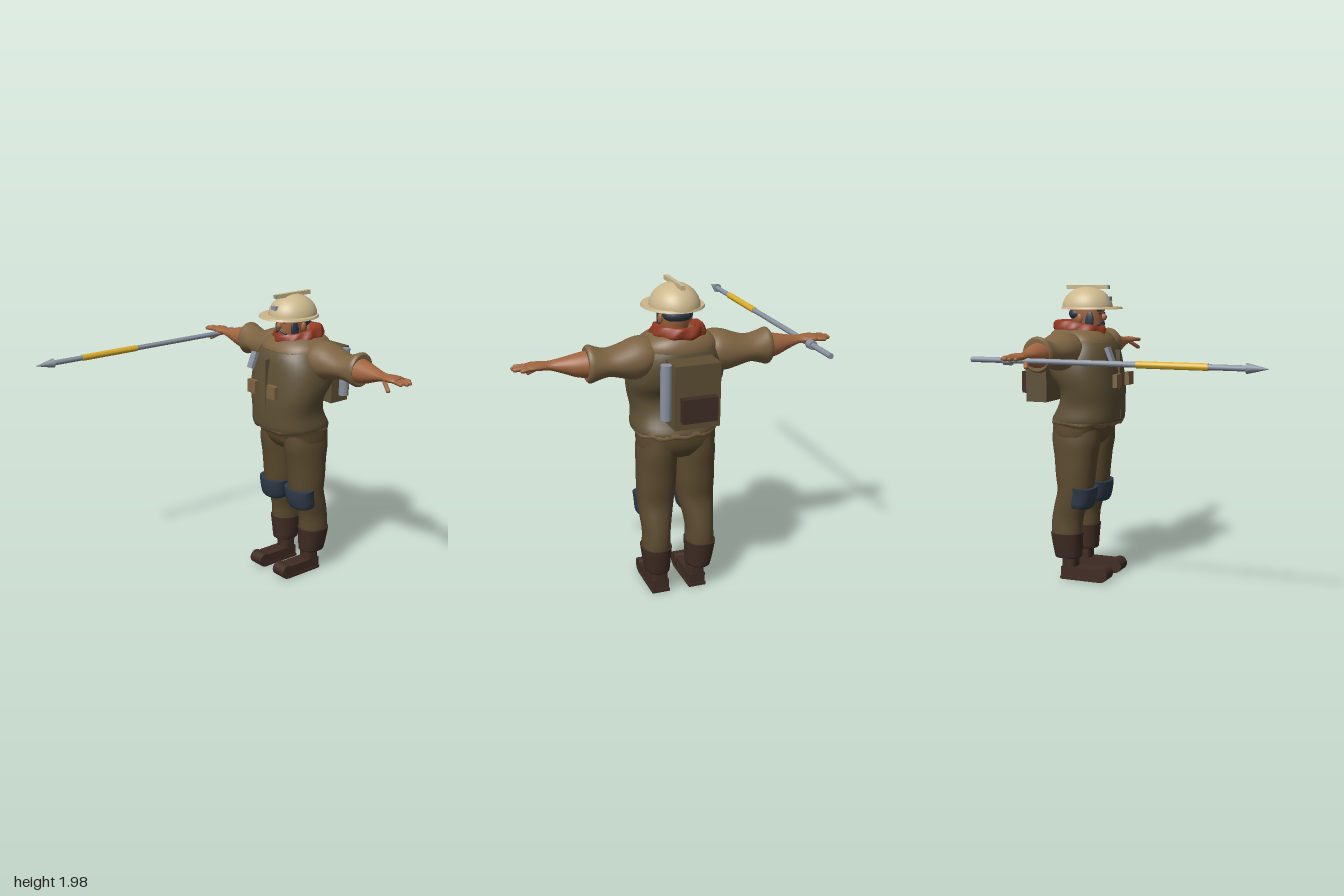
import * as THREE from 'three';
import { toCreasedNormals } from 'three/addons/utils/BufferGeometryUtils.js';

const colours = {
  helmet: 0xcbb78c, skin: 0xa0653f, dark: 0x2e3a48, scarf: 0x8f3822, jacket: 0x7d6442,
  vest: 0x5e5035, trousers: 0x5b4a2f, leather: 0x402c24, metal: 0x8a92a0, yellow: 0xdbae2c,
};
const M = {};
for (const [name, hex] of Object.entries(colours)) {
  M[name] = new THREE.MeshStandardMaterial({ color: hex });
  M[name].name = name;
}

// Smooth closed body through ellipse rows [position, centreA, centreB, radiusA, radiusB].
// Along y: A = x, B = z. Along x: A = z, B = y.
function loft(rows, { axis = 'y', power = 2, n = 32, sub = 3, rule } = {}) {
  const rings = [];
  for (let i = 0; i < rows.length - 1; i++) {
    const [p0, p1, p2, p3] = [-1, 0, 1, 2].map(k => rows[Math.min(rows.length - 1, Math.max(0, i + k))]);
    for (let s = 0; s < sub; s++) {
      const t = s / sub;
      rings.push(p1.map((b, k) => b + 0.5 * t * (p2[k] - p0[k] +
        t * (2 * p0[k] - 5 * b + 4 * p2[k] - p3[k] + t * (3 * (b - p2[k]) + p3[k] - p0[k])))));
    }
  }
  rings.push(rows[rows.length - 1]);
  const pos = [], idx = [];
  const put = (a, h, b) => {
    const v = axis === 'y' ? new THREE.Vector3(a, h, b) : new THREE.Vector3(h, b, a);
    if (rule) rule(v);
    pos.push(v.x, v.y, v.z);
  };
  const bend = v => Math.sign(v) * Math.abs(v) ** (2 / power);
  for (const [h, ca, cb, ra, rb] of rings)
    for (let j = 0; j < n; j++) {
      const t = j / n * Math.PI * 2;
      put(ca + ra * bend(Math.cos(t)), h, cb + rb * bend(Math.sin(t)));
    }
  for (let i = 0; i < rings.length - 1; i++)
    for (let j = 0; j < n; j++) {
      const a = i * n + j, b = i * n + (j + 1) % n;
      idx.push(a, a + n, b, b, a + n, b + n);
    }
  const last = (rings.length - 1) * n, c0 = rings.length * n;
  for (const r of [rings[0], rings[rings.length - 1]]) put(r[1], r[0], r[2]);
  for (let j = 0; j < n; j++) {
    const k = (j + 1) % n;
    idx.push(c0, j, k, c0 + 1, last + k, last + j);
  }
  const g = new THREE.BufferGeometry();
  g.setAttribute('position', new THREE.Float32BufferAttribute(pos, 3));
  g.setIndex(idx);
  return g;
}

const box = (x0, x1, y0, y1, z0, z1) => new THREE.BoxGeometry(x1 - x0, y1 - y0, z1 - z0)
  .translate((x0 + x1) / 2, (y0 + y1) / 2, (z0 + z1) / 2);
const ball = (x, y, z, rx, ry, rz) => new THREE.SphereGeometry(1, 20, 14).scale(rx, ry, rz).translate(x, y, z);

// Rounded rod between two points
function rod(p, q, r) {
  const a = new THREE.Vector3(...p), b = new THREE.Vector3(...q), d = b.clone().sub(a);
  return new THREE.CapsuleGeometry(r, d.length(), 4, 10)
    .applyQuaternion(new THREE.Quaternion().setFromUnitVectors(new THREE.Vector3(0, 1, 0), d.clone().normalize()))
    .translate((a.x + b.x) / 2, (a.y + b.y) / 2, (a.z + b.z) / 2);
}

export function createModel() {
  const model = new THREE.Group();
  model.name = 'spearCarrier';
  const add = (name, geo, mat) => {
    const m = new THREE.Mesh(toCreasedNormals(geo, 0.75), mat);
    m.name = name;
    model.add(m);
  };
  const pair = (name, geo, mat) => {
    const other = geo.clone().scale(-1, 1, 1);
    other.index.array.reverse();
    add(name + 'Left', geo, mat);
    add(name + 'Right', other, mat);
  };

  // Torso
  add('vest', loft([
    [1.085, 0, -0.51, 0.262, 0.225], [1.11, 0, -0.505, 0.266, 0.225], [1.2, 0, -0.48, 0.257, 0.203],
    [1.3, 0, -0.474, 0.278, 0.194], [1.4, 0, -0.512, 0.296, 0.222], [1.5, 0, -0.533, 0.288, 0.23],
    [1.57, 0, -0.543, 0.26, 0.226], [1.61, 0, -0.55, 0.236, 0.212]], { power: 2.4, n: 40 }), M.vest);
  add('jacketShoulders', loft([
    [1.5, 0, -0.54, 0.25, 0.2], [1.6, 0, -0.55, 0.242, 0.206], [1.65, 0, -0.56, 0.225, 0.19],
    [1.69, 0, -0.57, 0.17, 0.155], [1.71, 0, -0.57, 0.1, 0.1]], { power: 2.4 }), M.jacket);
  add('jacketHem', loft([
    [1.055, 0, -0.515, 0.235, 0.205], [1.075, 0, -0.515, 0.262, 0.222], [1.1, 0, -0.51, 0.262, 0.224]],
  { power: 2.4, rule: v => { v.y += 0.008 * Math.sin(v.x * 45 + v.z * 20); } }), M.jacket);
  add('vestFrontSeam', box(-0.004, 0.004, 1.1, 1.56, -0.32, -0.277), M.vest);

  // Scarf, dipping at the front, with soft folds
  add('scarf', loft([
    [1.61, 0, -0.565, 0.14, 0.15], [1.645, 0, -0.565, 0.185, 0.178], [1.675, 0, -0.565, 0.162, 0.165],
    [1.7, 0, -0.565, 0.165, 0.178], [1.745, 0, -0.565, 0.142, 0.17], [1.745, 0, -0.56, 0.12, 0.145],
    [1.68, 0, -0.55, 0.085, 0.1]], {
    n: 48, rule: v => {
      const z = v.z + 0.565, a = Math.atan2(z, v.x), k = 1 + 0.035 * Math.sin(a * 9 + v.y * 40);
      v.x *= k;
      v.z = -0.565 + z * k;
      v.y -= 0.22 * Math.max(0, z);
    } }), M.scarf);

  // Head
  add('head', loft([
    [1.6, 0, -0.54, 0.07, 0.075], [1.66, 0, -0.52, 0.066, 0.085], [1.7, 0, -0.505, 0.078, 0.098],
    [1.76, 0, -0.508, 0.088, 0.11], [1.83, 0, -0.515, 0.092, 0.115], [1.88, 0, -0.515, 0.08, 0.1]],
  { power: 2.2 }), M.skin);
  add('nose', ball(0, 1.772, -0.394, 0.018, 0.024, 0.022), M.skin);
  add('beard', loft([
    [1.645, 0, -0.46, 0.03, 0.04], [1.665, 0, -0.462, 0.058, 0.062], [1.7, 0, -0.472, 0.078, 0.072],
    [1.716, 0, -0.475, 0.08, 0.068]]), M.dark);
  add('mouth', box(-0.022, 0.022, 1.722, 1.729, -0.405, -0.399), M.scarf);
  pair('moustache', rod([0.008, 1.742, -0.4], [0.046, 1.722, -0.412], 0.008), M.dark);
  pair('sideburn', ball(0.077, 1.755, -0.465, 0.014, 0.062, 0.034), M.dark);
  pair('ear', ball(0.094, 1.765, -0.525, 0.014, 0.032, 0.02), M.skin);
  pair('eye', ball(0.035, 1.798, -0.406, 0.012, 0.007, 0.008), M.dark);
  pair('eyebrow', rod([0.02, 1.815, -0.403], [0.055, 1.817, -0.415], 0.006), M.dark);
  add('hair', ball(0, 1.795, -0.565, 0.094, 0.05, 0.07), M.dark);

  // Helmet
  add('helmetDome', new THREE.SphereGeometry(1, 40, 16, 0, Math.PI * 2, 0, Math.PI / 2)
    .scale(0.152, 0.142, 0.172).translate(0, 1.83, -0.51), M.helmet);
  add('helmetBrim', new THREE.CylinderGeometry(0.97, 1, 0.013, 48).scale(0.19, 1, 0.207)
    .translate(0, 1.833, -0.477), M.helmet);
  add('helmetRidge', box(-0.013, 0.013, 1.955, 1.982, -0.655, -0.358), M.helmet);
  add('helmetLamp', box(-0.021, 0.021, 1.882, 1.907, -0.37, -0.34), M.metal);
  add('ridgeClip', box(-0.013, 0.013, 1.957, 1.98, -0.3575, -0.353), M.metal);

  // Arms and hands
  pair('sleeve', loft([
    [0.14, -0.58, 1.58, 0.1, 0.08], [0.21, -0.58, 1.57, 0.135, 0.115], [0.28, -0.585, 1.558, 0.136, 0.124],
    [0.36, -0.588, 1.553, 0.127, 0.1], [0.44, -0.59, 1.553, 0.115, 0.082], [0.51, -0.597, 1.555, 0.108, 0.098],
    [0.553, -0.6, 1.557, 0.104, 0.114], [0.572, -0.6, 1.557, 0.094, 0.102]], { axis: 'x' }), M.jacket);
  pair('forearm', loft([
    [0.54, -0.592, 1.556, 0.088, 0.082], [0.62, -0.588, 1.553, 0.075, 0.07], [0.7, -0.58, 1.558, 0.057, 0.047],
    [0.78, -0.572, 1.564, 0.042, 0.026], [0.83, -0.572, 1.567, 0.052, 0.024], [0.88, -0.574, 1.57, 0.06, 0.021],
    [0.915, -0.575, 1.57, 0.052, 0.013]], { axis: 'x' }), M.skin);
  [[-0.627, 0.945], [-0.593, 0.983], [-0.56, 0.988], [-0.528, 0.968]].forEach(([z, tip], i) =>
    pair('finger' + (i + 1), rod([0.88, 1.568, z + (z + 0.575) * -0.2], [tip, 1.564, z], 0.0125), M.skin));
  pair('thumb', rod([0.82, 1.553, -0.54], [0.888, 1.512, -0.505], 0.014), M.skin);

  // Trousers
  add('hips', loft([
    [0.93, 0, -0.545, 0.21, 0.13], [0.98, 0, -0.545, 0.24, 0.165], [1.03, 0, -0.545, 0.245, 0.18],
    [1.1, 0, -0.53, 0.245, 0.2]], { power: 2.5 }), M.trousers);
  pair('trouserLeg', loft([
    [1.05, 0.115, -0.545, 0.12, 0.165], [0.95, 0.123, -0.545, 0.123, 0.165], [0.85, 0.124, -0.548, 0.122, 0.148],
    [0.72, 0.127, -0.552, 0.12, 0.134], [0.62, 0.131, -0.553, 0.113, 0.122], [0.52, 0.139, -0.583, 0.099, 0.113],
    [0.42, 0.143, -0.608, 0.086, 0.108], [0.33, 0.145, -0.613, 0.087, 0.105], [0.27, 0.145, -0.613, 0.08, 0.095],
  ].reverse(), { power: 2.15 }), M.trousers);
  pair('kneePad', loft([
    [0.51, 0.14, -0.505, 0.092, 0.068], [0.535, 0.138, -0.502, 0.105, 0.078], [0.6, 0.134, -0.49, 0.113, 0.08],
    [0.65, 0.132, -0.487, 0.122, 0.077]], {
    power: 2.4, rule: v => { v.y -= 0.12 * Math.max(0, v.z + 0.5); } }), M.dark);

  // Boots
  pair('bootCuff', loft([
    [0.155, 0.138, -0.608, 0.074, 0.09], [0.168, 0.138, -0.608, 0.078, 0.094], [0.25, 0.143, -0.612, 0.088, 0.102],
    [0.325, 0.146, -0.613, 0.096, 0.11]], { power: 2.3, sub: 2 }), M.leather);
  pair('bootShaft', loft([
    [0.06, 0.123, -0.6, 0.052, 0.05], [0.2, 0.123, -0.6, 0.052, 0.05]], { power: 4, sub: 1 }), M.leather);
  pair('bootSole', box(0.066, 0.18, 0, 0.02, -0.655, -0.36), M.leather);
  pair('bootUpper', box(0.071, 0.175, 0.015, 0.086, -0.65, -0.355), M.leather);
  pair('bootToe', new THREE.CylinderGeometry(0.048, 0.048, 0.11, 24).rotateZ(Math.PI / 2)
    .translate(0.123, 0.049, -0.358), M.leather);

  // Chest gear
  pair('chestPouch', box(0.058, 0.14, 1.32, 1.407, -0.272, -0.24), M.jacket);
  add('chestTorch', new THREE.BoxGeometry(0.048, 0.115, 0.026).rotateX(-0.38)
    .translate(-0.14, 1.53, -0.287), M.metal);

  // Backpack
  add('backpack', box(-0.14, 0.14, 1.203, 1.588, -0.907, -0.755), M.vest);
  add('backpackPocket', box(-0.106, 0.106, 1.257, 1.403, -0.956, -0.9), M.leather);
  add('backpackFlask', new THREE.CylinderGeometry(0.034, 0.034, 0.33, 24).translate(0.17, 1.42, -0.842), M.metal);

  // Spear, pointing forward in the right hand
  const spear = (name, r0, r1, z0, z1, mat) => add(name, new THREE.CylinderGeometry(r1, r0, z1 - z0, 20)
    .rotateX(Math.PI / 2).translate(-0.845, 1.545, (z0 + z1) / 2), mat);
  spear('spearShaft', 0.017, 0.017, -0.895, 0.84, M.metal);
  spear('spearGrip', 0.021, 0.021, 0.18, 0.61, M.yellow);
  spear('spearCollar', 0.029, 0.029, -0.672, -0.622, M.metal);
  spear('spearTip', 0.031, 0.001, 0.83, 0.957, M.metal);
  return model;
}
